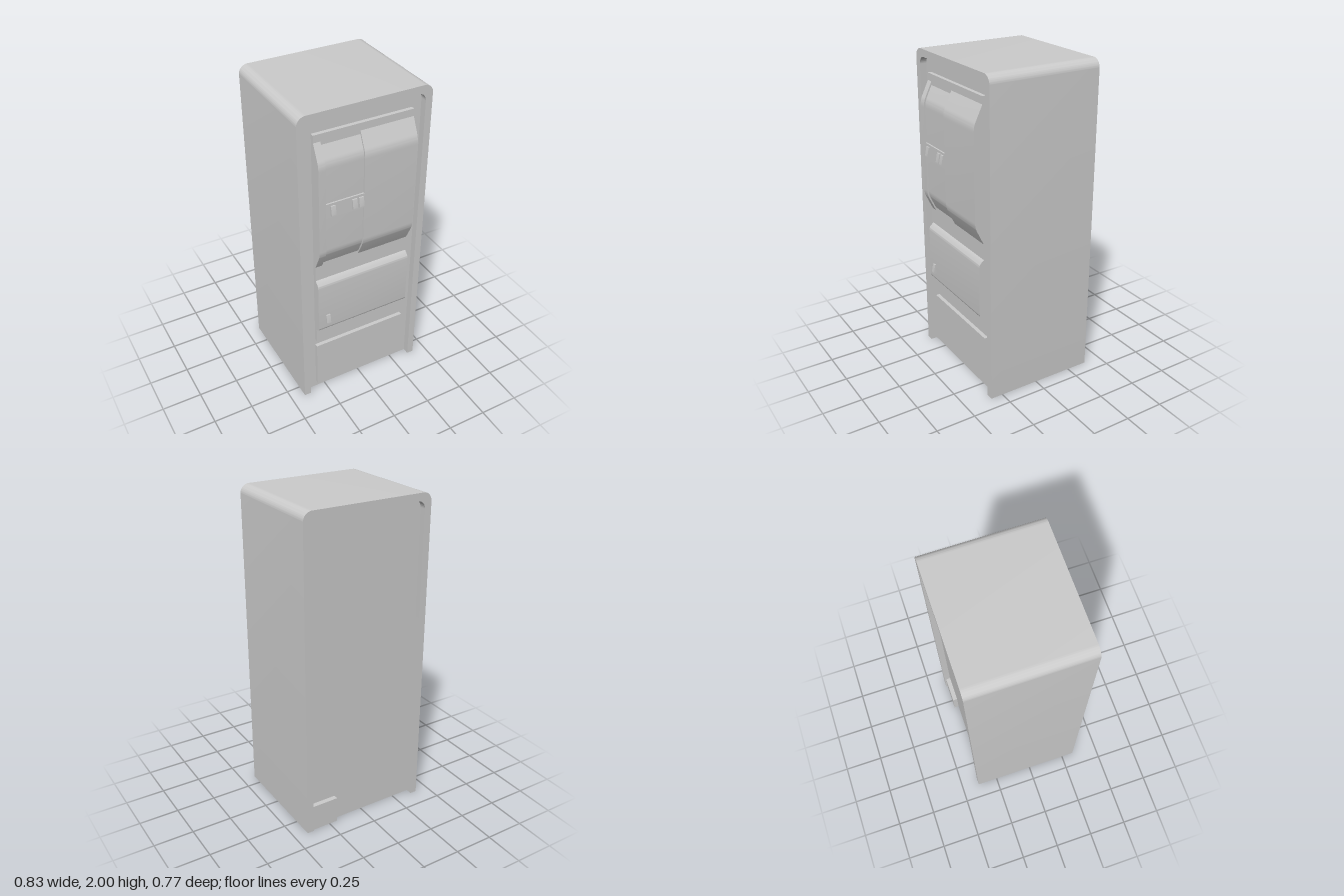
import * as THREE from 'three';
import { toCreasedNormals } from 'three/addons/utils/BufferGeometryUtils.js';

const material = new THREE.MeshStandardMaterial({ color: 0xcccccc });

function add(group, name, geometry) {
  const mesh = new THREE.Mesh(geometry, material);
  mesh.name = name;
  group.add(mesh);
  return mesh;
}

// Box given by its min and max on each axis
function box(x0, x1, y0, y1, z0, z1) {
  return new THREE.BoxGeometry(x1 - x0, y1 - y0, z1 - z0)
    .translate((x0 + x1) / 2, (y0 + y1) / 2, (z0 + z1) / 2);
}

// Extrude a front-facing shape between two z values
function extrudeZ(shape, z0, z1) {
  const g = new THREE.ExtrudeGeometry(shape, { depth: z1 - z0, bevelEnabled: false, curveSegments: 10 });
  return toCreasedNormals(g.translate(0, 0, z0), 0.6);
}

// Extrude a side profile (drawn with x = -z) between two x values
function extrudeX(shape, x0, x1) {
  const g = new THREE.ExtrudeGeometry(shape, { depth: x1 - x0, bevelEnabled: false, curveSegments: 8 });
  return toCreasedNormals(g.rotateY(Math.PI / 2).translate(x0, 0, 0), 0.6);
}

// Arch outline from the lower right corner over the top to the lower left
function traceArch(shape, w, top, r) {
  shape.lineTo(w, 0);
  shape.lineTo(w, top - r);
  shape.absarc(w - r, top - r, r, 0, Math.PI / 2, false);
  shape.lineTo(-w + r, top);
  shape.absarc(-w + r, top - r, r, Math.PI / 2, Math.PI, false);
  shape.lineTo(-w, 0);
}

// Side profile of the upper door, bevelled at top and bottom
function upperDoorProfile(inset) {
  const f = 0.367 - inset, s = new THREE.Shape();
  s.moveTo(-0.295, 1.0);
  s.lineTo(-(f - 0.055), 1.0);
  s.lineTo(-(f - 0.012), 1.09);
  s.quadraticCurveTo(-f, 1.115, -f, 1.15);
  s.lineTo(-f, 1.67);
  s.quadraticCurveTo(-f, 1.705, -(f - 0.012), 1.73);
  s.lineTo(-(f - 0.055), 1.82);
  s.lineTo(-0.295, 1.82);
  s.closePath();
  return s;
}

// Side profile of the lower door
function lowerDoorProfile() {
  const s = new THREE.Shape();
  s.moveTo(-0.295, 0.51);
  s.lineTo(-0.312, 0.51);
  s.lineTo(-0.335, 0.525);
  s.quadraticCurveTo(-0.344, 0.53, -0.344, 0.545);
  s.lineTo(-0.342, 0.85);
  s.quadraticCurveTo(-0.342, 0.872, -0.334, 0.88);
  s.lineTo(-0.312, 0.9);
  s.lineTo(-0.295, 0.9);
  s.closePath();
  return s;
}

// Wedge-shaped knob, flaring out towards its lower end
function knob(x, y, z, w, h) {
  const s = new THREE.Shape();
  s.moveTo(-z + 0.005, y - h / 2);
  s.lineTo(-z - 0.018, y - h / 2);
  s.lineTo(-z - 0.018, y - h / 2 + 0.008);
  s.lineTo(-z - 0.008, y + h / 2);
  s.lineTo(-z + 0.005, y + h / 2);
  s.closePath();
  return extrudeX(s, x - w / 2, x + w / 2);
}

export function createModel() {
  const model = new THREE.Group();
  model.name = 'cabinet';

  // Outer shell, open at the bottom, with a core set back at front and rear
  const shell = new THREE.Shape();
  shell.moveTo(0.37, 0);
  traceArch(shell, 0.413, 2, 0.055);
  shell.lineTo(-0.37, 0);
  shell.lineTo(-0.37, 1.905);
  shell.absarc(-0.32, 1.905, 0.05, Math.PI, Math.PI / 2, true);
  shell.lineTo(0.32, 1.955);
  shell.absarc(0.32, 1.905, 0.05, Math.PI / 2, 0, true);
  shell.closePath();
  add(model, 'shell', extrudeZ(shell, -0.385, 0.33));

  const core = new THREE.Shape();
  core.moveTo(-0.37, 0);
  traceArch(core, 0.37, 1.955, 0.05);
  add(model, 'core', extrudeZ(core, -0.345, 0.288));

  // Raised front panels
  add(model, 'mainPanel', box(-0.31, 0.31, 0.415, 1.865, 0.28, 0.312));
  add(model, 'kickPanel', box(-0.31, 0.31, 0.045, 0.37, 0.28, 0.312));

  // Upper door with two sunken fields separated by a control strip
  const upperDoor = new THREE.Group();
  upperDoor.name = 'upperDoor';
  model.add(upperDoor);
  add(upperDoor, 'doorRightEdge', extrudeX(upperDoorProfile(0), -0.31, -0.267));
  add(upperDoor, 'sunkenFields', extrudeX(upperDoorProfile(0.01), -0.267, -0.027));
  add(upperDoor, 'doorFace', extrudeX(upperDoorProfile(0), -0.027, 0.31));
  add(upperDoor, 'controlStrip', box(-0.267, -0.027, 1.36, 1.455, 0.34, 0.367));
  for (const x of [-0.226, -0.091, -0.049]) {
    add(upperDoor, 'controlKnob', knob(x, 1.41, 0.367, 0.03, 0.06));
  }

  // Lower door and its knob
  add(model, 'lowerDoor', extrudeX(lowerDoorProfile(), -0.31, 0.31));
  add(model, 'lowerDoorKnob', knob(-0.248, 0.607, 0.342, 0.028, 0.06));

  // Connection box at the rear
  add(model, 'rearBox', box(0.195, 0.365, 0, 0.17, -0.375, -0.34));

  return model;
}
